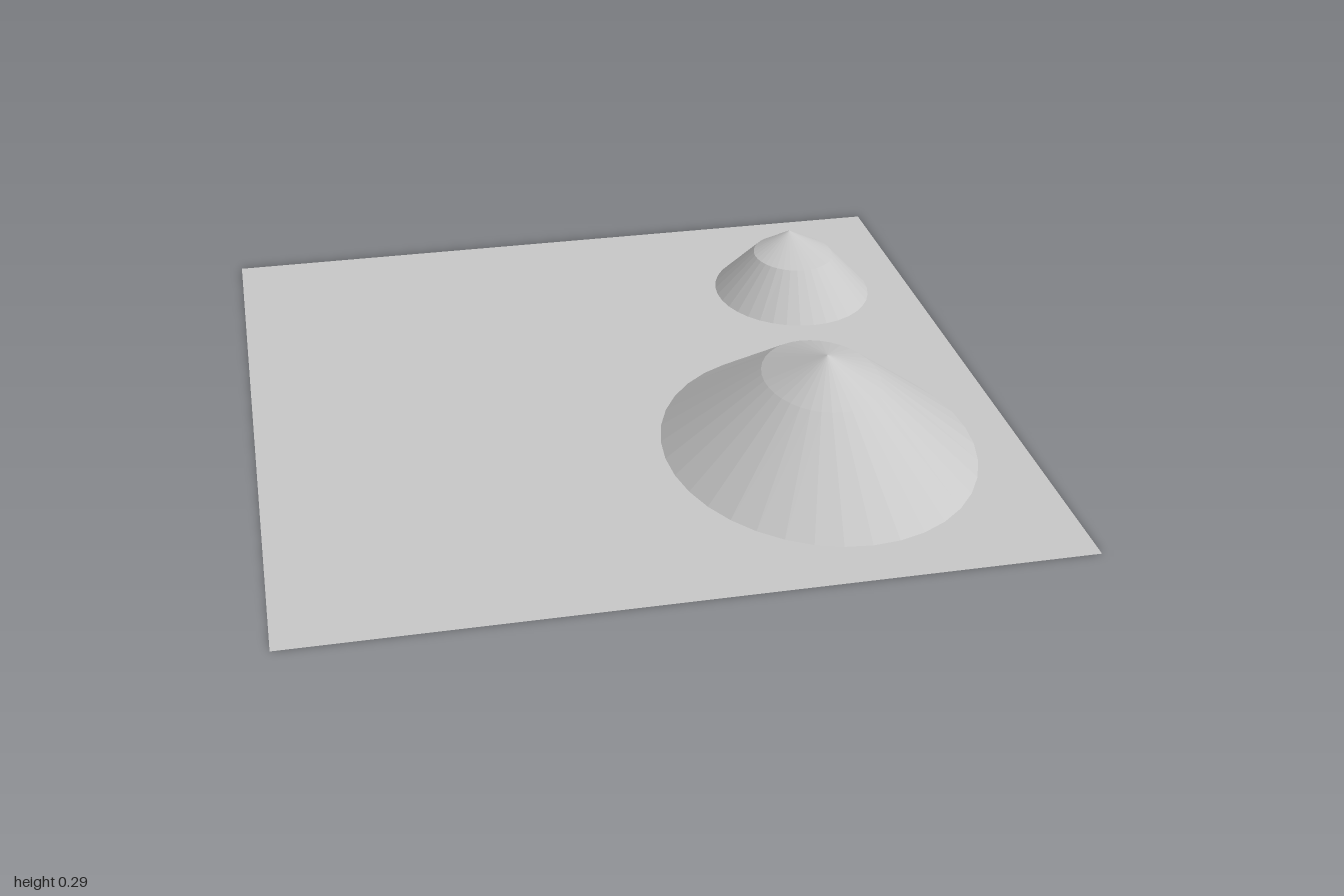
import * as THREE from 'three';

const stone = new THREE.MeshStandardMaterial({ color: 0xc8c8c8, flatShading: true, side: THREE.DoubleSide });
stone.name = 'light grey';

// Faceted oval mound: rings are [y, radiusX, radiusZ, zOffset], from base to peak
function makeMound(name, x, z, rings, sides = 36) {
  const positions = [];
  const corner = ([y, rx, rz, dz], i) => {
    const a = (i / sides) * Math.PI * 2;
    return [Math.sin(a) * rx, y, Math.cos(a) * rz + dz];
  };
  for (let r = 0; r < rings.length - 1; r++) {
    for (let i = 0; i < sides; i++) {
      const a = corner(rings[r], i), b = corner(rings[r], i + 1);
      const c = corner(rings[r + 1], i + 1), d = corner(rings[r + 1], i);
      positions.push(...a, ...b, ...c);
      if (rings[r + 1][1] > 0) positions.push(...a, ...c, ...d);
    }
  }
  const geometry = new THREE.BufferGeometry();
  geometry.setAttribute('position', new THREE.Float32BufferAttribute(positions, 3));
  geometry.computeVertexNormals();
  const mound = new THREE.Mesh(geometry, stone);
  mound.name = name;
  mound.position.set(x, 0, z);
  return mound;
}

export function createModel() {
  const model = new THREE.Group();
  model.name = 'terrain';

  // Flat ground sheet
  const ground = new THREE.Mesh(new THREE.PlaneGeometry(2, 1.99).rotateX(-Math.PI / 2), stone);
  ground.name = 'ground';
  model.add(ground);

  // Two hills with shallower caps and off-centre peaks
  model.add(makeMound('largeHill', 0.467, 0.36, [
    [0, 0.413, 0.493, 0], [0.205, 0.153, 0.195, 0], [0.29, 0, 0, 0.045],
  ]));
  model.add(makeMound('smallHill', 0.645, -0.536, [
    [0, 0.231, 0.25, 0], [0.12, 0.118, 0.126, 0], [0.17, 0, 0, -0.05],
  ]));
  return model;
}
